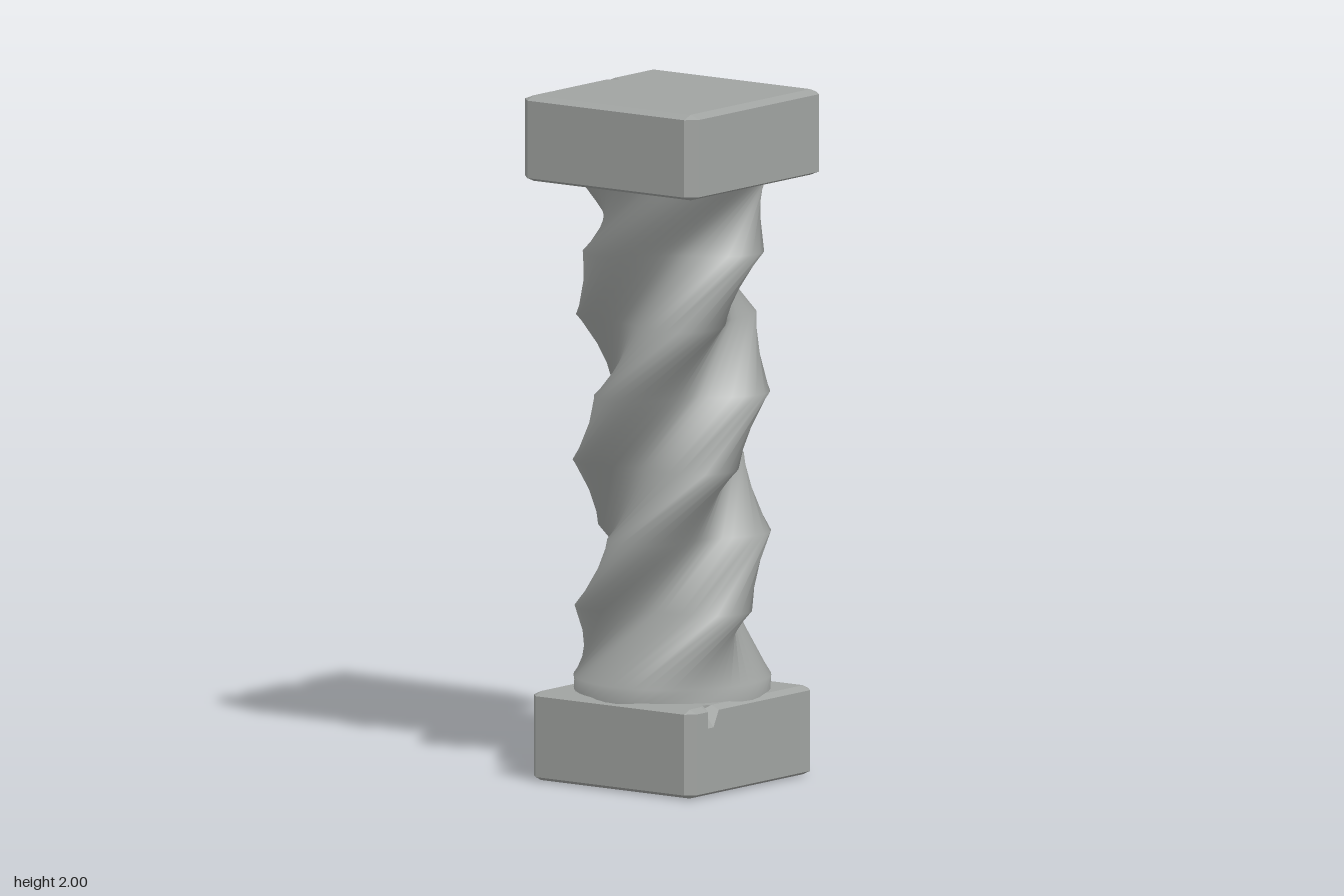
import * as THREE from 'three';

// Chamfered square block, built from stacked outlines; chips push one outline point inward.
// chip: { side: 0 front, 1 right, 2 back, 3 left; at: offset along the side, w, d, top }
function blockGeometry(half, y0, y1, bevel, bevelH, chips) {
  const chipH = 0.06;
  const levels = [
    [y0, bevel, 'low'], [y0 + bevelH, 0, 'low'], [y0 + chipH, 0, ''],
    [y1 - chipH, 0, ''], [y1 - bevelH, 0, 'high'], [y1, bevel, 'high'],
  ];
  const loops = levels.map(([y, inset, zone]) => {
    const loop = [];
    for (let side = 0; side < 4; side++) {
      const e = half - bevel, out = half - inset;
      const pts = [[-e, out]];
      chips.filter(c => c.side === side).sort((a, b) => a.at - b.at).forEach(c => {
        const cut = zone === (c.top ? 'high' : 'low') ? half - Math.max(c.d, inset) : out;
        pts.push([c.at - c.w / 2, out], [c.at, cut], [c.at + c.w / 2, out]);
      });
      pts.push([e, out]);
      // turn the side a quarter per step: front, right, back, left
      const a = side * Math.PI / 2, s = Math.sin(a), k = Math.cos(a);
      pts.forEach(([u, v]) => loop.push([u * k + v * s, y, v * k - u * s]));
    }
    return loop;
  });
  const pos = [], n = loops[0].length, last = loops.length - 1;
  const tri = (a, b, c) => pos.push(...a, ...b, ...c);
  for (let i = 0; i < n; i++) {
    const j = (i + 1) % n;
    for (let k = 0; k < last; k++) {
      tri(loops[k][i], loops[k][j], loops[k + 1][j]);
      tri(loops[k][i], loops[k + 1][j], loops[k + 1][i]);
    }
    tri([0, y0, 0], loops[0][j], loops[0][i]);
    tri([0, y1, 0], loops[last][i], loops[last][j]);
  }
  const geo = new THREE.BufferGeometry();
  geo.setAttribute('position', new THREE.Float32BufferAttribute(pos, 3));
  geo.computeVertexNormals();
  return geo;
}

// Three-lobed shaft twisting upward, blending to a circle at both ends
function shaftGeometry() {
  const sides = 48, turnHeight = 1.45;
  // [height, mean radius, lobe depth]
  const rings = [[0.25, 0.285, 0], [0.3, 0.285, 0.003]];
  for (let i = 1; i < 7; i++) rings.push([0.3 + i * 0.2085, 0.229, 0.058]);
  rings.push([1.76, 0.277, 0.004]);
  const pos = [], idx = [];
  rings.forEach(([y, radius, depth], k) => {
    const twist = 2 * Math.PI * (y - 1.27) / turnHeight;
    for (let i = 0; i < sides; i++) {
      const a = i / sides * 2 * Math.PI;
      const r = radius - depth * Math.cos(3 * a);
      pos.push(r * Math.sin(a + twist), y, r * Math.cos(a + twist));
      if (k === 0) continue;
      const j = (i + 1) % sides, p = (k - 1) * sides, q = k * sides;
      idx.push(p + i, p + j, q + j, p + i, q + j, q + i);
    }
  });
  const geo = new THREE.BufferGeometry();
  geo.setAttribute('position', new THREE.Float32BufferAttribute(pos, 3));
  geo.setIndex(idx);
  geo.computeVertexNormals();
  return geo;
}

export function createModel() {
  const group = new THREE.Group();
  group.name = 'twistedColumn';
  const stone = new THREE.MeshStandardMaterial({ color: 0xa0a3a1 });
  stone.name = 'greyStone';
  const add = (name, geo) => {
    const mesh = new THREE.Mesh(geo, stone);
    mesh.name = name;
    group.add(mesh);
  };

  // Square foot with worn edges
  add('base', blockGeometry(0.295, 0, 0.26, 0.026, 0.012, [
    { side: 0, at: -0.19, w: 0.05, d: 0.04, top: true },
    { side: 1, at: 0.19, w: 0.03, d: 0.04, top: true },
    { side: 2, at: 0.13, w: 0.05, d: 0.04, top: false },
  ]));
  add('shaft', shaftGeometry());
  // Wider square head
  add('capital', blockGeometry(0.315, 1.75, 2, 0.031, 0.012, [
    { side: 1, at: -0.2, w: 0.04, d: 0.04, top: false },
    { side: 2, at: -0.085, w: 0.04, d: 0.06, top: true },
    { side: 2, at: 0.19, w: 0.02, d: 0.035, top: true },
  ]));
  return group;
}
